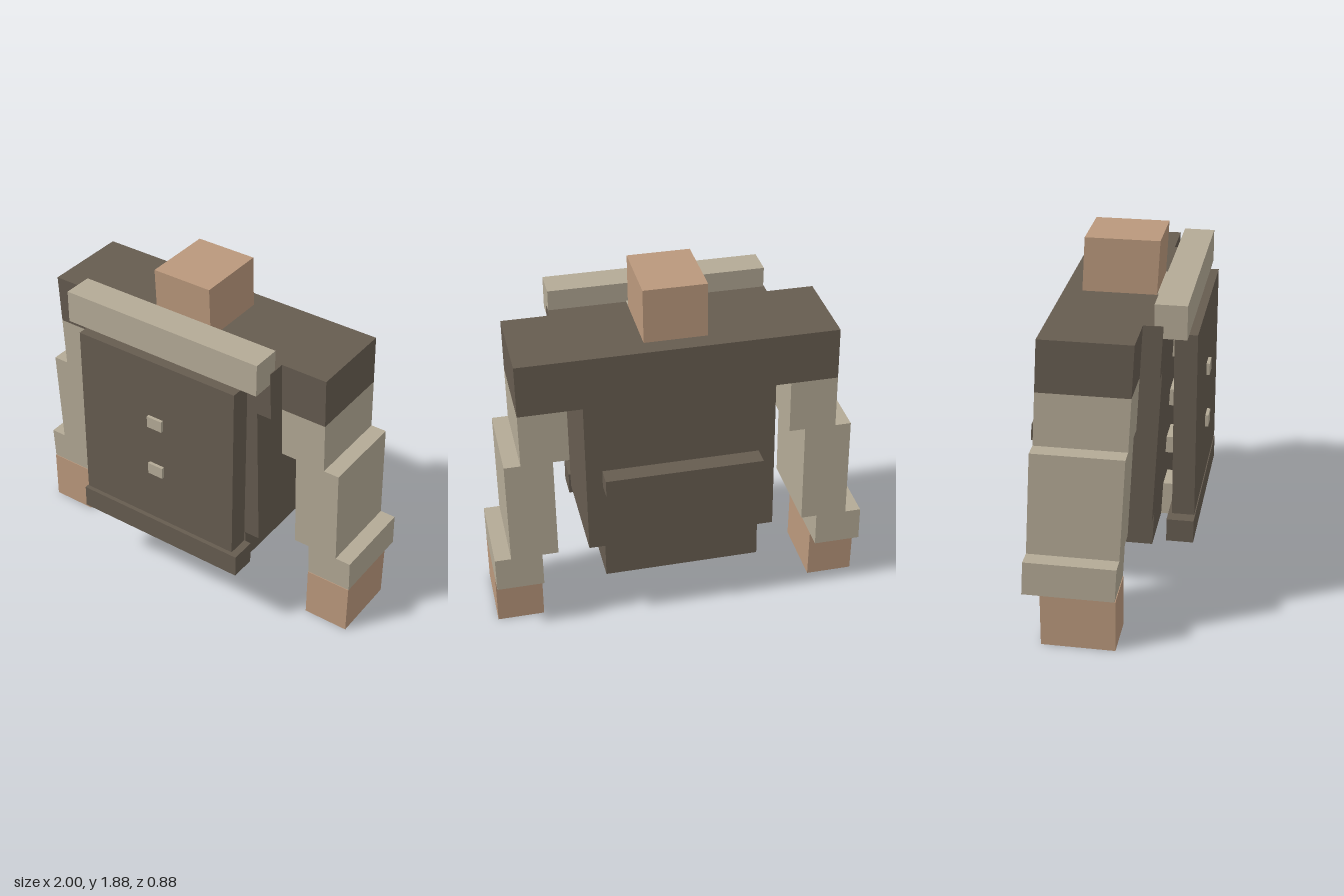
import * as THREE from 'three';

const LEAN = 0.054; // forward lean of the body per unit of height
const LEAN_Y = 1.59; // height at which leaning parts have their given depth

export function createModel() {
  const group = new THREE.Group();
  const material = (name, color) => {
    const m = new THREE.MeshStandardMaterial({ color });
    m.name = name;
    return m;
  };
  const dark = material('dark brown cloth', 0x665c50);
  const light = material('pale beige cloth', 0xb4aa96);
  const skin = material('skin', 0xba987c);

  // Box given by its x, y and z ranges, optionally leaning with the body
  function block(name, mat, [x0, x1], [y0, y1], [z0, z1], leaning = false) {
    const geo = new THREE.BoxGeometry(x1 - x0, y1 - y0, z1 - z0);
    geo.translate((x0 + x1) / 2, (y0 + y1) / 2, (z0 + z1) / 2);
    if (leaning) {
      const p = geo.attributes.position;
      for (let i = 0; i < p.count; i++) {
        p.setZ(i, p.getZ(i) + LEAN * (p.getY(i) - LEAN_Y));
      }
      geo.computeVertexNormals();
    }
    const mesh = new THREE.Mesh(geo, mat);
    mesh.name = name;
    group.add(mesh);
    return mesh;
  }
  const wide = (w) => [-w, w];

  // Stepped torso and neck
  const bodyZ = [-0.3, 0.27];
  block('chest', dark, wide(0.58), [1.315, 1.59], bodyZ, true);
  block('torso', dark, wide(0.5), [0.47, 1.315], bodyZ, true);
  block('waist', dark, wide(0.415), [0.285, 0.47], bodyZ, true);
  block('neck', skin, wide(0.165), [1.59, 1.875], [-0.205, 0.178], true);
  block('backBelt', dark, wide(0.415), [0.845, 0.937], [-0.397, -0.297], true);

  // Stepped arms with hands
  const armZ = [-0.3, 0.17];
  for (const side of [-1, 1]) {
    const label = side > 0 ? 'left' : 'right';
    const span = (a, b) => (side > 0 ? [a, b] : [-b, -a]);
    block(label + 'Shoulder', dark, span(0.58, 0.83), [1.315, 1.59], armZ, true);
    block(label + 'UpperSleeve', light, span(0.58, 0.83), [1.03, 1.315], armZ, true);
    block(label + 'LowerSleeve', light, span(0.665, 0.915), [0.47, 1.03], armZ, true);
    block(label + 'Cuff', light, span(0.75, 1), [0.285, 0.47], armZ, true);
    block(label + 'Hand', skin, span(0.75, 1), [0, 0.285], [-0.278, 0.103]);
  }

  // Front panel with its spacers and buttons
  block('frontPanel', dark, wide(0.475), [0.515, 1.512], [0.31, 0.425]);
  block('lowerPanel', dark, wide(0.5), [0.365, 0.49], [0.285, 0.425]);
  block('lowerStrap', light, wide(0.08), [0.285, 0.47], [0.26, 0.365], true);
  for (const y of [0.66, 0.94, 1.22]) {
    block('spacer', light, wide(0.08), [y, y + 0.092], [0.2, 0.312]);
  }
  for (const y of [0.813, 1.112]) {
    block('button', light, wide(0.045), [y, y + 0.065], [0.42, 0.442]);
  }

  // Collar roll and the bracket beneath it
  block('collarRoll', light, wide(0.575), [1.525, 1.7], [0.225, 0.385]);
  block('collarBracket', light, wide(0.165), [1.503, 1.597], [0.18, 0.365]);

  return group;
}
